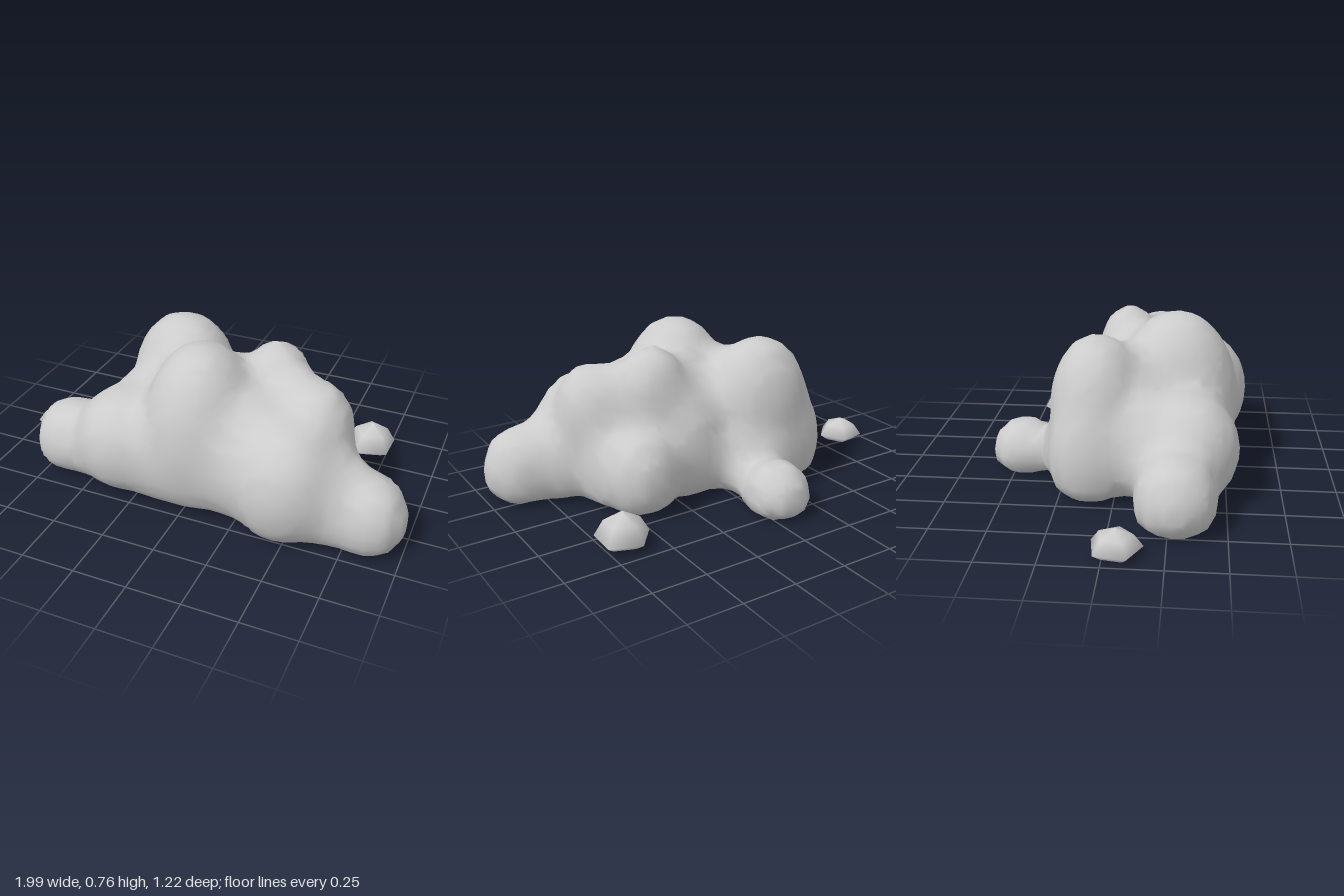
import * as THREE from 'three';

// Lobes of the cloud: centre, then radii
const LOBES = [
  [[0.02, 0.34, 0.26], [0.265, 0.435, 0.29]],   // tall middle
  [[0.53, 0.40, 0.17], [0.17, 0.245, 0.18]],    // upper left shoulder
  [[0.46, 0.25, 0.36], [0.255, 0.30, 0.25]],    // front left
  [[0.23, 0.27, 0.30], [0.25, 0.30, 0.235]],    // between middle and front left
  [[0.26, 0.38, 0.24], [0.25, 0.22, 0.22]],     // above it
  [[0.83, 0.14, 0.33], [0.17, 0.21, 0.175]],    // left end
  [[0.66, 0.17, 0.30], [0.17, 0.24, 0.21]],     // between front left and left end
  [[0.43, 0.18, -0.10], [0.18, 0.22, 0.18]],    // back left
  [[0.50, 0.18, 0.06], [0.15, 0.24, 0.18]],     // below the left shoulder
  [[0.29, 0.50, 0.02], [0.16, 0.23, 0.155]],    // upper back left
  [[0.42, 0.42, 0.11], [0.16, 0.22, 0.16]],     // ridge to the left shoulder
  [[0.16, 0.25, -0.01], [0.24, 0.32, 0.215]],   // core
  [[0.14, 0.41, 0.10], [0.20, 0.24, 0.18]],     // saddle behind the middle
  [[-0.12, 0.40, 0.07], [0.21, 0.23, 0.20]],    // saddle to the back right
  [[-0.22, 0.39, -0.09], [0.255, 0.33, 0.215]], // tall back right
  [[-0.17, 0.16, -0.12], [0.26, 0.24, 0.23]],   // foot of the back right
  [[-0.38, 0.20, -0.11], [0.155, 0.26, 0.185]], // back right side
  [[-0.28, 0.24, 0.12], [0.24, 0.28, 0.20]],    // between back and front right
  [[-0.34, 0.24, 0.32], [0.24, 0.255, 0.235]],  // front right
  [[-0.14, 0.22, 0.30], [0.22, 0.28, 0.22]],    // between middle and front right
  [[-0.66, 0.14, 0.28], [0.175, 0.20, 0.18]],   // right end
  [[-0.50, 0.15, 0.28], [0.18, 0.19, 0.18]],    // between front right and right end
  [[-0.07, 0.09, -0.46], [0.15, 0.165, 0.155]], // small back puff
  [[-0.07, 0.08, -0.32], [0.11, 0.09, 0.12]],   // neck of the back puff
];
const BASE = 0.008;

function smoothMin(a, b, k) {
  const h = Math.max(k - Math.abs(a - b), 0) / k;
  return Math.min(a, b) - h * h * k / 4;
}

function ellipsoid(x, y, z, [c, r]) {
  const p = [x - c[0], y - c[1], z - c[2]];
  const k0 = Math.hypot(p[0] / r[0], p[1] / r[1], p[2] / r[2]);
  const k1 = Math.hypot(p[0] / r[0] ** 2, p[1] / r[1] ** 2, p[2] / r[2] ** 2);
  return k1 < 1e-6 ? -Math.min(...r) : k0 * (k0 - 1) / k1;
}

// Signed distance: softly merged lobes, cut by a base plane with a rounded rim
function field(x, y, z) {
  let d = 9;
  for (const lobe of LOBES) d = smoothMin(d, ellipsoid(x, y, z, lobe), 0.06);
  return -smoothMin(-d, y - BASE, 0.04);
}

// Surface net: one vertex per crossed cell, one quad per crossed grid edge
function surfaceNet(f, min, size, step) {
  const [nx, ny, nz] = size.map((s) => Math.ceil(s / step));
  const id = (i, j, k) => i + (nx + 1) * (j + (ny + 1) * k);
  const at = (i, j, k) => [min[0] + i * step, min[1] + j * step, min[2] + k * step];
  const values = [];
  for (let k = 0; k <= nz; k++) for (let j = 0; j <= ny; j++) for (let i = 0; i <= nx; i++)
    values[id(i, j, k)] = f(...at(i, j, k));

  const positions = [], index = [], cell = new Map();
  const corner = (c) => [c & 1, (c >> 1) & 1, c >> 2];
  for (let k = 0; k < nz; k++) for (let j = 0; j < ny; j++) for (let i = 0; i < nx; i++) {
    const sum = [0, 0, 0];
    let count = 0;
    for (let a = 0; a < 8; a++) for (const bit of [1, 2, 4]) {
      if (a & bit) continue;
      const p = corner(a), q = corner(a | bit);
      const u = values[id(i + p[0], j + p[1], k + p[2])];
      const v = values[id(i + q[0], j + q[1], k + q[2])];
      if ((u < 0) === (v < 0)) continue;
      const t = u / (u - v);
      for (let n = 0; n < 3; n++) sum[n] += p[n] + (q[n] - p[n]) * t;
      count++;
    }
    if (!count) continue;
    cell.set(id(i, j, k), positions.length / 3);
    positions.push(...at(i + sum[0] / count, j + sum[1] / count, k + sum[2] / count));
  }

  const stride = [1, nx + 1, (nx + 1) * (ny + 1)];
  for (let k = 1; k < nz; k++) for (let j = 1; j < ny; j++) for (let i = 1; i < nx; i++) {
    const o = id(i, j, k);
    for (let axis = 0; axis < 3; axis++) {
      const inside = values[o] < 0;
      if (inside === (values[o + stride[axis]] < 0)) continue;
      const u = stride[(axis + 1) % 3], v = stride[(axis + 2) % 3];
      const [a, b, c, d] = [o - u - v, o - v, o, o - u].map((n) => cell.get(n));
      if (inside) index.push(a, b, c, a, c, d);
      else index.push(a, c, b, a, d, c);
    }
  }
  const geometry = new THREE.BufferGeometry();
  geometry.setAttribute('position', new THREE.Float32BufferAttribute(positions, 3));
  geometry.setIndex(index);
  geometry.computeVertexNormals();
  return geometry;
}

// Small five-sided puff: pointed top, wide waist, narrower underside
function puffGeometry(radius, bottom, waist, top) {
  const profile = [[0, bottom], [radius * 0.65, bottom], [radius, waist],
    [radius * 0.66, waist + (top - waist) * 0.62], [0, top]];
  return new THREE.LatheGeometry(profile.map(([x, y]) => new THREE.Vector2(x, y)), 5);
}

export function createModel() {
  const group = new THREE.Group();
  const material = new THREE.MeshStandardMaterial({ color: 0xcccccc });

  const cloud = new THREE.Mesh(
    surfaceNet(field, [-1.1, -0.1, -0.75], [2.25, 1.0, 1.5], 0.055), material);
  cloud.name = 'cloudBody';
  group.add(cloud);

  // Detached puffs beside the body
  const puffs = [
    ['rightPuff', -0.89, 0.05, 0.115, 0.01, 0.04, 0.125, 0.15],
    ['backLeftPuff', 0.665, -0.36, 0.125, 0.02, 0.05, 0.17, 0.9],
  ];
  for (const [name, x, z, radius, bottom, waist, top, turn] of puffs) {
    const puff = new THREE.Mesh(puffGeometry(radius, bottom, waist, top), material);
    puff.name = name;
    puff.position.set(x, 0, z);
    puff.rotation.y = turn;
    group.add(puff);
  }
  return group;
}
